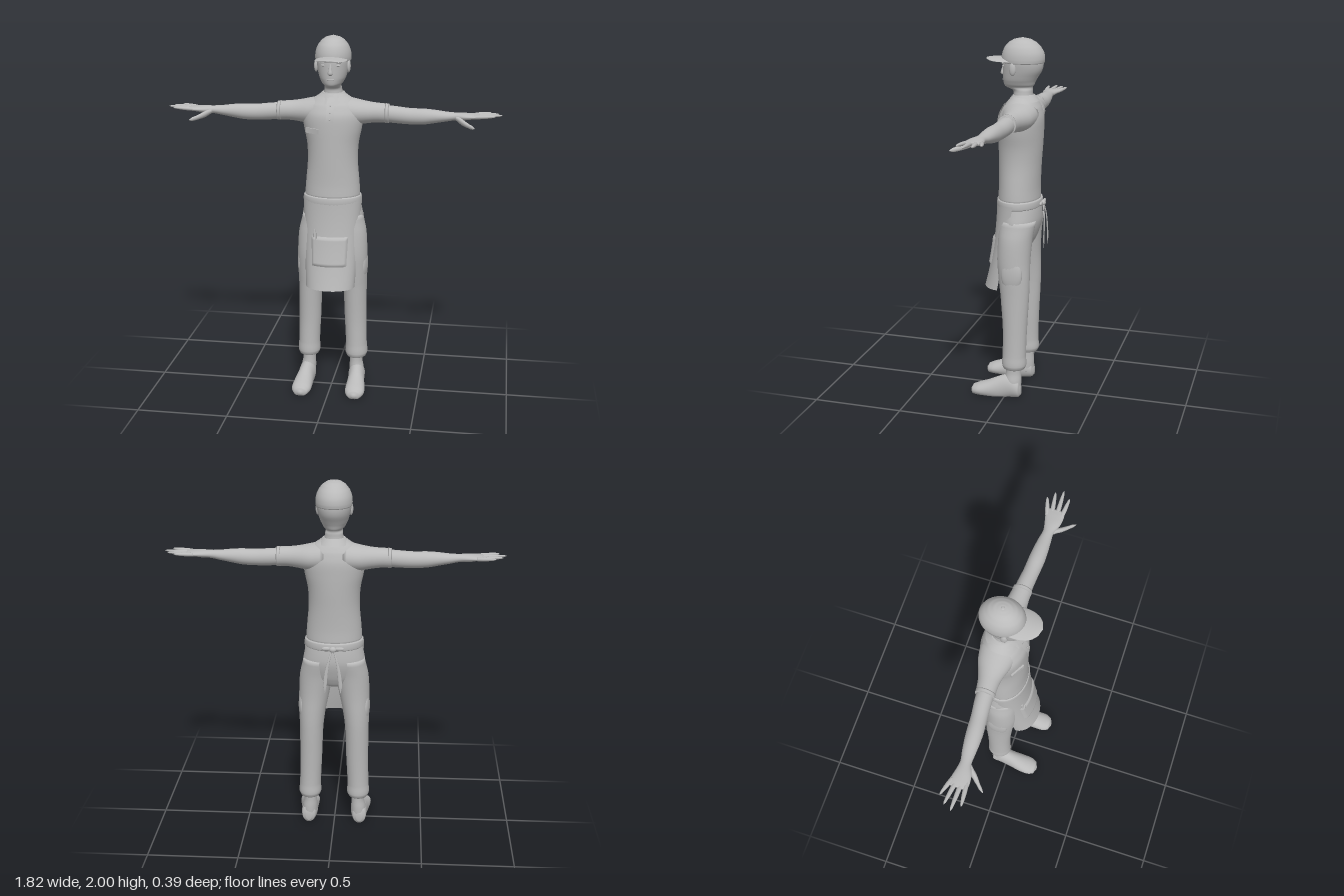
import * as THREE from 'three';

const grey = new THREE.MeshStandardMaterial({ color: 0xbababa, side: THREE.DoubleSide });
grey.name = 'matte grey';

// Smooth loft along axis k (0 x, 1 y, 2 z). Section: [position, centre a, centre b, radius a, radius b],
// where a and b are the next two axes in cyclic order.
function loft(k, secs, n = 28, sub = 4) {
  const rows = [];
  const at = i => secs[Math.max(0, Math.min(secs.length - 1, i))];
  for (let i = 0; i < secs.length - 1; i++) {
    for (let s = 0; s < sub; s++) {
      const t = s / sub;
      rows.push(at(i).map((p1, c) => {
        const p0 = at(i - 1)[c], p2 = at(i + 1)[c], p3 = at(i + 2)[c];
        if (c === 0) return p1 + (p2 - p1) * t;
        return 0.5 * (2 * p1 + (p2 - p0) * t + (2 * p0 - 5 * p1 + 4 * p2 - p3) * t * t
          + (3 * p1 - p0 - 3 * p2 + p3) * t * t * t);
      }));
    }
  }
  rows.push(at(secs.length - 1));
  // rising order keeps the faces outward
  if (rows[0][0] > rows[rows.length - 1][0]) rows.reverse();
  const pos = [], idx = [];
  const put = (t, a, b) => {
    const p = [0, 0, 0];
    p[k] = t; p[(k + 1) % 3] = a; p[(k + 2) % 3] = b;
    pos.push(...p);
  };
  for (const [t, a, b, ra, rb] of rows) {
    for (let j = 0; j < n; j++) {
      const w = j / n * Math.PI * 2;
      put(t, a + ra * Math.cos(w), b + rb * Math.sin(w));
    }
  }
  const last = rows.length - 1, c0 = rows.length * n, c1 = c0 + 1;
  put(...rows[0].slice(0, 3));
  put(...rows[last].slice(0, 3));
  for (let j = 0; j < n; j++) {
    const m = (j + 1) % n;
    for (let i = 0; i < last; i++) {
      const a = i * n + j, b = i * n + m;
      idx.push(a, b, b + n, a, b + n, a + n);
    }
    idx.push(c0, m, j, c1, last * n + j, last * n + m);
  }
  return build(pos, idx);
}

function build(pos, idx) {
  const g = new THREE.BufferGeometry();
  g.setAttribute('position', new THREE.Float32BufferAttribute(pos, 3));
  g.setIndex(idx);
  g.computeVertexNormals();
  return g;
}

// Open cloth surface from f(u, v) -> [x, y, z]; u runs to the right, v upward
function sheet(f, nu = 32, nv = 16) {
  const pos = [], idx = [];
  for (let j = 0; j <= nv; j++) for (let i = 0; i <= nu; i++) pos.push(...f(i / nu, j / nv));
  for (let j = 0; j < nv; j++) for (let i = 0; i < nu; i++) {
    const a = j * (nu + 1) + i, b = a + nu + 1;
    idx.push(a, a + 1, b + 1, a, b + 1, b);
  }
  return build(pos, idx);
}

function bend(g, rule) {
  const p = g.attributes.position;
  for (let i = 0; i < p.count; i++) p.setY(i, rule(p.getX(i), p.getY(i), p.getZ(i)));
  g.computeVertexNormals();
  return g;
}

function mirrored(g) {
  const m = g.clone().scale(-1, 1, 1), a = m.index.array;
  for (let i = 0; i < a.length; i += 3) [a[i], a[i + 1]] = [a[i + 1], a[i]];
  m.computeVertexNormals();
  return m;
}

const blob = (x, y, z, rx, ry, rz) => new THREE.SphereGeometry(1, 20, 14).scale(rx, ry, rz).translate(x, y, z);
const lerp = THREE.MathUtils.lerp;

export function createModel() {
  const model = new THREE.Group();
  model.name = 'apronWorker';
  const add = (name, g) => {
    const m = new THREE.Mesh(g, grey);
    m.name = name;
    model.add(m);
  };
  const pair = (name, g) => { add(name + 'Left', g); add(name + 'Right', mirrored(g)); };

  // Head and neck
  add('head', loft(1, [[1.62, -.06, 0, .06, .06], [1.7, -.06, 0, .052, .05], [1.722, -.057, 0, .055, .047],
    [1.737, -.038, 0, .074, .045], [1.75, -.0375, 0, .083, .057], [1.78, -.042, 0, .092, .072],
    [1.83, -.056, 0, .107, .086], [1.88, -.06, 0, .109, .092], [1.93, -.06, 0, .09, .08]], 36));
  add('nose', loft(1, [[1.795, .045, 0, .004, .006], [1.805, .05, 0, .015, .014], [1.83, .05, 0, .01, .009],
    [1.865, .044, 0, .006, .006]], 14));
  add('mouth', blob(0, 1.775, .047, .022, .004, .005));
  pair('ear', blob(.088, 1.84, -.025, .011, .034, .018).rotateZ(0));
  pair('eye', blob(.038, 1.85, .038, .015, .006, .007));
  pair('eyebrow', blob(.04, 1.866, .039, .02, .004, .007));

  // Cap
  add('capCrown', loft(1, [[1.868, -.06, 0, .114, .096], [1.89, -.06, 0, .117, .097], [1.92, -.06, 0, .112, .093],
    [1.95, -.058, 0, .097, .081], [1.975, -.057, 0, .073, .061], [1.99, -.056, 0, .046, .039],
    [1.996, -.056, 0, .02, .018], [1.997, -.056, 0, .002, .002]], 40));
  add('capButton', blob(0, 1.996, -.056, .01, .004, .01));
  add('capBill', bend(loft(2, [[-.01, 0, 1.894, .086, .006], [.04, 0, 1.893, .086, .006], [.08, 0, 1.891, .078, .005],
    [.11, 0, 1.889, .062, .005], [.132, 0, 1.887, .037, .004], [.143, 0, 1.886, .004, .002]]),
    (x, y) => y - 2.4 * x * x));

  // Polo shirt
  add('shirtBody', loft(1, [[1.12, -.042, 0, .115, .153], [1.2, -.043, 0, .112, .148], [1.32, -.045, 0, .115, .138],
    [1.42, -.048, 0, .119, .142], [1.52, -.05, 0, .121, .161], [1.58, -.052, 0, .118, .162],
    [1.63, -.057, 0, .1, .142], [1.66, -.06, 0, .08, .108], [1.685, -.06, 0, .062, .072],
    [1.695, -.06, 0, .056, .06]], 44));
  pair('sleeve', loft(0, [[.05, 1.595, -.06, .08, .1], [.13, 1.588, -.064, .07, .085], [.2, 1.587, -.062, .058, .062],
    [.25, 1.587, -.058, .053, .053], [.305, 1.585, -.055, .052, .05]]));
  pair('sleeveCuff', loft(0, [[.285, 1.586, -.055, .053, .051], [.305, 1.585, -.055, .053, .051]]));
  add('collar', sheet((u, v) => {
    const gap = lerp(.4, .12, v), a = lerp(-Math.PI * 2 + gap, -gap, u);
    const front = Math.max(0, Math.cos(a));
    return [lerp(.086, .058, v) * Math.sin(a), lerp(1.665 - .038 * front * front, 1.7 - .01 * front, v),
      -.06 + lerp(lerp(.088, .108, front), .06, v) * Math.cos(a)];
  }, 48, 6));
  add('placket', sheet((u, v) => {
    const y = lerp(1.55, 1.675, v);
    return [(u - .5) * .04, y, .078 - 4.5 * (y - 1.55) ** 2];
  }, 2, 10));
  for (const y of [1.565, 1.6, 1.635]) add('shirtButton', blob(0, y, .079 - 4.5 * (y - 1.55) ** 2, .005, .005, .003));
  add('nameTag', new THREE.BoxGeometry(.085, .028, .009).rotateY(-.52).translate(-.1, 1.497, .049));

  // Arms and hands
  pair('arm', loft(0, [[.26, 1.586, -.055, .046, .045], [.34, 1.58, -.052, .046, .044], [.42, 1.575, -.045, .044, .042],
    [.49, 1.576, -.04, .043, .043], [.55, 1.579, -.037, .036, .04], [.61, 1.581, -.034, .027, .034],
    [.66, 1.584, -.03, .021, .029], [.71, 1.586, -.025, .019, .042], [.76, 1.588, -.027, .014, .05],
    [.79, 1.59, -.028, .009, .047]]));
  const fingers = [[-.066, .85, -.095], [-.042, .89, -.062], [-.016, .91, -.022], [.008, .875, .02]];
  for (const [z, tipX, tipZ] of fingers) {
    const s = (t, r) => [lerp(.75, tipX, t), lerp(1.588, 1.597, t), lerp(z, tipZ, t), r * .85, r];
    pair('finger', loft(0, [s(0, .011), s(.3, .012), s(.65, .01), s(.92, .006), s(1, .001)], 12));
  }
  pair('thumb', loft(0, [[.66, 1.58, -.015, .012, .018], [.695, 1.566, .018, .017, .02], [.73, 1.553, .052, .013, .014],
    [.755, 1.547, .077, .01, .01], [.768, 1.545, .09, .002, .002]], 14));

  // Trousers
  add('hips', loft(1, [[.85, -.045, 0, .03, .05], [.87, -.045, 0, .07, .11], [.92, -.045, 0, .096, .16],
    [1, -.05, 0, .113, .17], [1.06, -.049, 0, .115, .161], [1.125, -.044, 0, .113, .15]], 40));
  pair('trouserLeg', loft(1, [[.165, -.048, .137, .044, .04], [.172, -.049, .137, .06, .054], [.195, -.05, .137, .069, .063],
    [.25, -.05, .136, .066, .06], [.4, -.052, .131, .068, .062], [.6, -.05, .127, .08, .066],
    [.7, -.045, .122, .087, .074], [.8, -.04, .112, .092, .084], [.92, -.045, .098, .095, .091],
    [1.02, -.055, .085, .1, .083]]));
  pair('sidePocket', blob(.175, .73, -.045, .024, .095, .06));

  // Shoes
  pair('shoe', bend(loft(2, [[-.092, .145, .04, .015, .025], [-.08, .145, .05, .038, .05], [-.03, .142, .06, .046, .07],
    [.03, .146, .045, .047, .07], [.09, .15, .035, .053, .052], [.15, .152, .028, .054, .036],
    [.185, .152, .022, .038, .026], [.197, .152, .02, .008, .008]]), (x, y) => Math.max(0, y)));
  pair('ankle', loft(1, [[.04, -.045, .142, .045, .042], [.1, -.044, .139, .047, .041], [.14, -.046, .136, .043, .036],
    [.19, -.047, .136, .043, .036]]));

  // Apron: a curved panel flaring forward toward the hem
  const apronPoint = (a, y, off) => {
    const t = (1.1 - y) / .48;
    const front = .078 + .012 * t + .06 * t * t, edge = lerp(-.045, .05, t);
    const w = lerp(.163, .136, t) + off;
    return [w * Math.sin(a), y, edge + (front + off - edge) * Math.cos(a)];
  };
  add('apronPanel', sheet((u, v) => apronPoint((u - .5) * Math.PI, lerp(.62, 1.11, v), 0)));
  add('apronPocket', sheet((u, v) => {
    const rim = Math.min(1, 12 * Math.min(u, 1 - u, v, 1 - v));
    return apronPoint((u - .5) * 1.45, lerp(.75, .915, v), .001 + .009 * rim);
  }, 32, 24));
  add('pen', new THREE.CylinderGeometry(.006, .006, .12, 10).rotateX(-.1).translate(-.085, .89, .078));
  add('penClip', new THREE.BoxGeometry(.008, .08, .004).translate(-.073, .9, .09));
  add('waistband', loft(1, [[1.088, -.044, 0, .117, .157], [1.092, -.044, 0, .122, .161], [1.11, -.044, 0, .123, .162],
    [1.127, -.044, 0, .121, .16], [1.132, -.044, 0, .116, .155]], 44));

  // Apron ties at the back
  add('tieKnot', blob(0, 1.105, -.175, .02, .016, .014));
  pair('tieLoop', blob(.035, 1.108, -.172, .026, .011, .008));
  pair('tieString', loft(1, [[.86, -.191, .042, .001, .002], [.9, -.191, .042, .003, .01], [.98, -.19, .034, .003, .009],
    [1.05, -.186, .02, .003, .006], [1.105, -.176, .006, .004, .005]], 12));
  return model;
}
